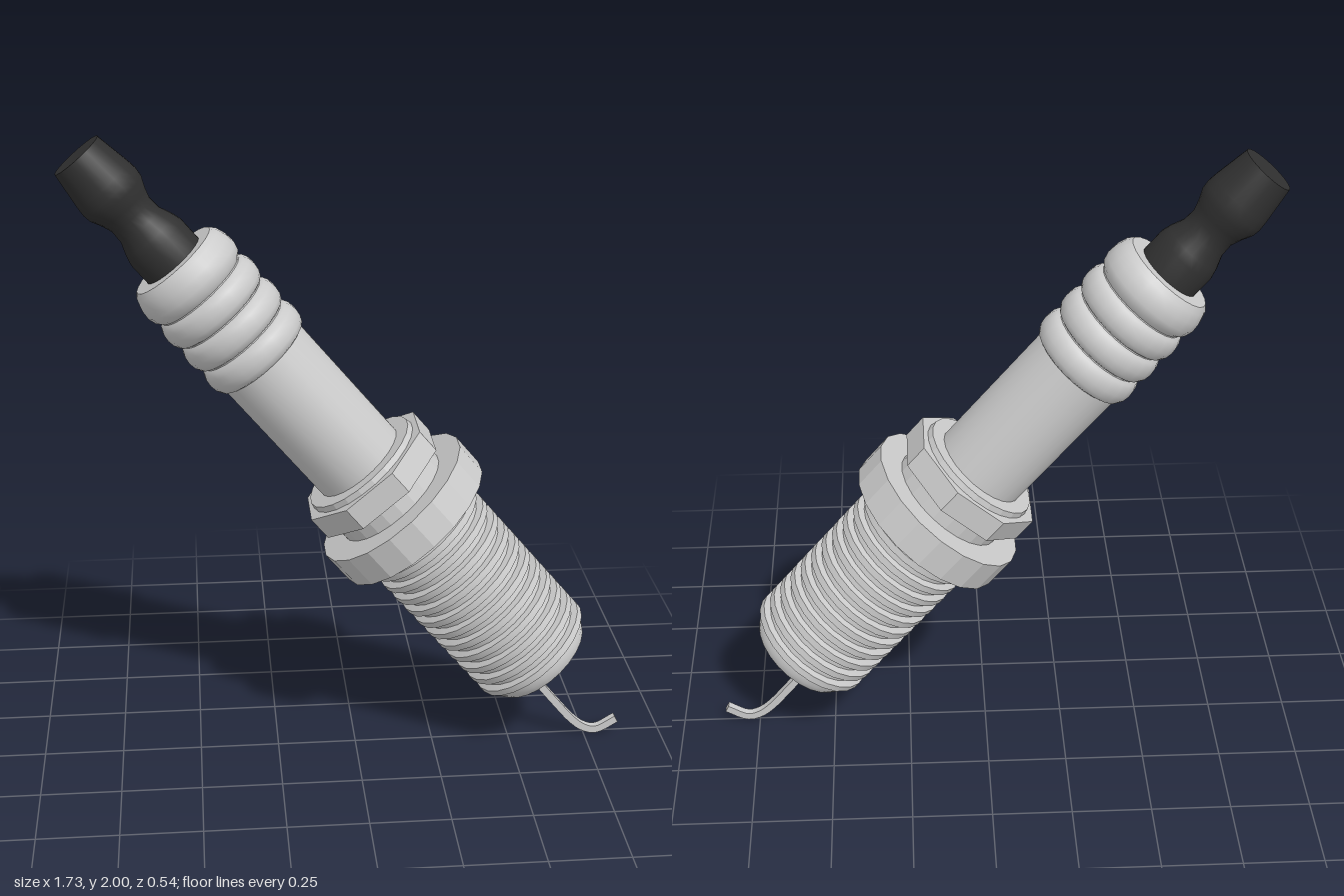
import * as THREE from 'three';
import { toCreasedNormals } from 'three/addons/utils/BufferGeometryUtils.js';

const GREY = new THREE.MeshStandardMaterial({ color: 0xcccccc });
const FACETED = new THREE.MeshStandardMaterial({ color: 0xcccccc, flatShading: true });
const BLACK = new THREE.MeshStandardMaterial({ color: 0x303030 });

function named(name, geometry, material = GREY) {
  const mesh = new THREE.Mesh(geometry, material);
  mesh.name = name;
  return mesh;
}

// Turned part from [radius, height] pairs, listed bottom to top
function turned(name, profile, material = GREY, sides = 24) {
  const points = profile.map(([r, y]) => new THREE.Vector2(r, y));
  return named(name, toCreasedNormals(new THREE.LatheGeometry(points, sides), 0.65), material);
}

function disc(name, rBottom, rTop, y0, y1, sides) {
  const g = new THREE.CylinderGeometry(rTop, rBottom, y1 - y0, sides);
  g.rotateY(Math.PI / sides).translate(0, (y0 + y1) / 2, 0);
  return named(name, g, FACETED);
}

export function createModel() {
  const model = new THREE.Group();
  model.name = 'sparkPlug';

  // The plug is built upright on its own axis, then leaned over
  const plug = new THREE.Group();
  plug.name = 'leaningBody';
  plug.position.set(0.632, 0.238, 0);
  plug.rotation.z = THREE.MathUtils.degToRad(40);
  model.add(plug);

  // Threaded shell with a recessed end
  const shell = [[0, 0.15], [0.115, 0.15], [0.115, 0.05], [0.17, 0.05], [0.185, 0.075]];
  for (let i = 0; i < 11; i++) {
    const y = 0.115 + i * 0.054;
    shell.push([0.185, y - 0.016], [0.207, y - 0.011], [0.207, y + 0.011], [0.185, y + 0.016]);
  }
  shell.push([0.185, 0.71]);
  plug.add(turned('threadedShell', shell));

  // Centre electrode
  plug.add(turned('centreElectrode', [[0, 0], [0.077, 0], [0.077, 0.16]]));

  // Seat collar, neck and eight-sided nut
  plug.add(disc('seatCollar', 0.273, 0.273, 0.7, 0.81, 20));
  plug.add(disc('nutNeck', 0.19, 0.19, 0.8, 0.88, 24));
  plug.add(disc('nut', 0.233, 0.233, 0.868, 0.948, 8));
  plug.add(disc('nutTopRing', 0.2, 0.195, 0.94, 0.967, 24));

  // Insulator with three rounded ribs and a larger top bead
  const insulator = [[0.15, 0.95], [0.15, 1.415]];
  for (let rib = 0; rib < 3; rib++) {
    for (let k = 0; k <= 6; k++) {
      const t = Math.PI * k / 6;
      insulator.push([0.15 + 0.023 * Math.sin(t), 1.463 + rib * 0.094 - 0.045 * Math.cos(t)]);
    }
  }
  insulator.push([0.15, 1.7], [0.164, 1.715], [0.171, 1.74], [0.168, 1.77],
    [0.158, 1.8], [0.143, 1.817], [0, 1.817]);
  plug.add(turned('insulator', insulator));

  // Black terminal with a waist
  plug.add(turned('terminal', [[0.1, 1.8], [0.1, 1.89], [0.092, 1.92], [0.076, 1.96],
    [0.074, 2.0], [0.084, 2.03], [0.1, 2.065], [0.103, 2.09], [0.1, 2.12],
    [0.083, 2.23], [0, 2.23]], BLACK));

  // Hooked ground wire with a square section
  const path = new THREE.CatmullRomCurve3([
    [0.577, 0.214], [0.65, 0.123], [0.712, 0.051], [0.75, 0.022], [0.79, 0.013], [0.857, 0.048],
  ].map(([x, y]) => new THREE.Vector3(x, y, 0.006)));
  const h = 0.012;
  const section = new THREE.Shape([[-h, -h], [h, -h], [h, h], [-h, h]].map(p => new THREE.Vector2(...p)));
  model.add(named('groundWire', new THREE.ExtrudeGeometry(section,
    { steps: 24, extrudePath: path, bevelEnabled: false })));

  return model;
}
